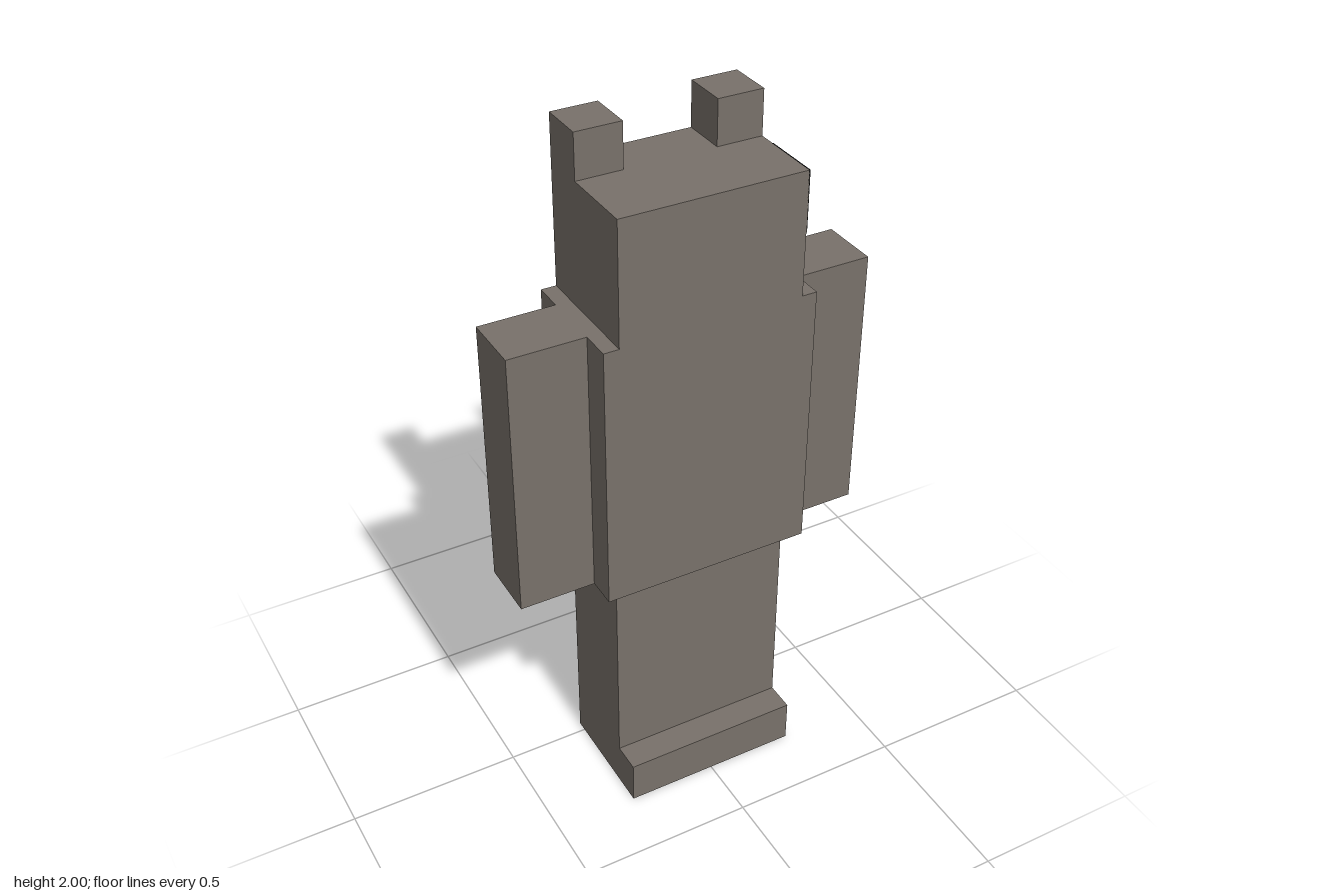
import * as THREE from 'three';

export function createModel() {
  const model = new THREE.Group();
  model.name = 'blockCreature';

  const fur = new THREE.MeshStandardMaterial({ color: 0x78716a });
  fur.name = 'greyBrownFur';
  const black = new THREE.MeshStandardMaterial({ color: 0x0c0c0c });
  black.name = 'black';

  // Box given by its lower and upper limits on each axis
  function block(name, [x0, x1], [y0, y1], [z0, z1], material = fur, parent = model) {
    const mesh = new THREE.Mesh(new THREE.BoxGeometry(x1 - x0, y1 - y0, z1 - z0), material);
    mesh.position.set((x0 + x1) / 2, (y0 + y1) / 2, (z0 + z1) / 2);
    mesh.name = name;
    parent.add(mesh);
    return mesh;
  }

  // Body and head
  block('torso', [-0.304, 0.304], [0.74, 1.523], [-0.073, 0.274]);
  block('head', [-0.261, 0.261], [1.523, 1.873], [-0.073, 0.274]);

  // Legs and feet, each a single full-width block
  block('legs', [-0.261, 0.261], [0, 0.74], [-0.03, 0.233]);
  block('feet', [-0.261, 0.261], [0, 0.13], [0.233, 0.318]);

  // Mirrored arms and ears
  for (const [side, s] of [['left', 1], ['right', -1]]) {
    const span = (a, b) => (s > 0 ? [a, b] : [-b, -a]);
    block(side + 'Arm', span(0.304, 0.521), [0.74, 1.523], [0.013, 0.187]);
    block(side + 'Ear', span(0.13, 0.261), [1.873, 2], [-0.073, 0.057]);
  }

  // Black patch on the left side of the head only
  block('sidePatch', [0.259, 0.263], [1.703, 1.873], [0.104, 0.274], black);

  // Tail slanting down at 45 degrees: narrow root, wide blade
  const tail = new THREE.Group();
  tail.name = 'tail';
  tail.position.set(0, 0.878, -0.105);
  tail.rotation.x = -Math.PI / 4;
  block('tailRoot', [-0.043, 0.043], [-0.043, 0], [0, 0.087], fur, tail);
  block('tailBlade', [-0.086, 0.086], [-0.043, 0], [-0.304, 0], fur, tail);
  model.add(tail);

  return model;
}
